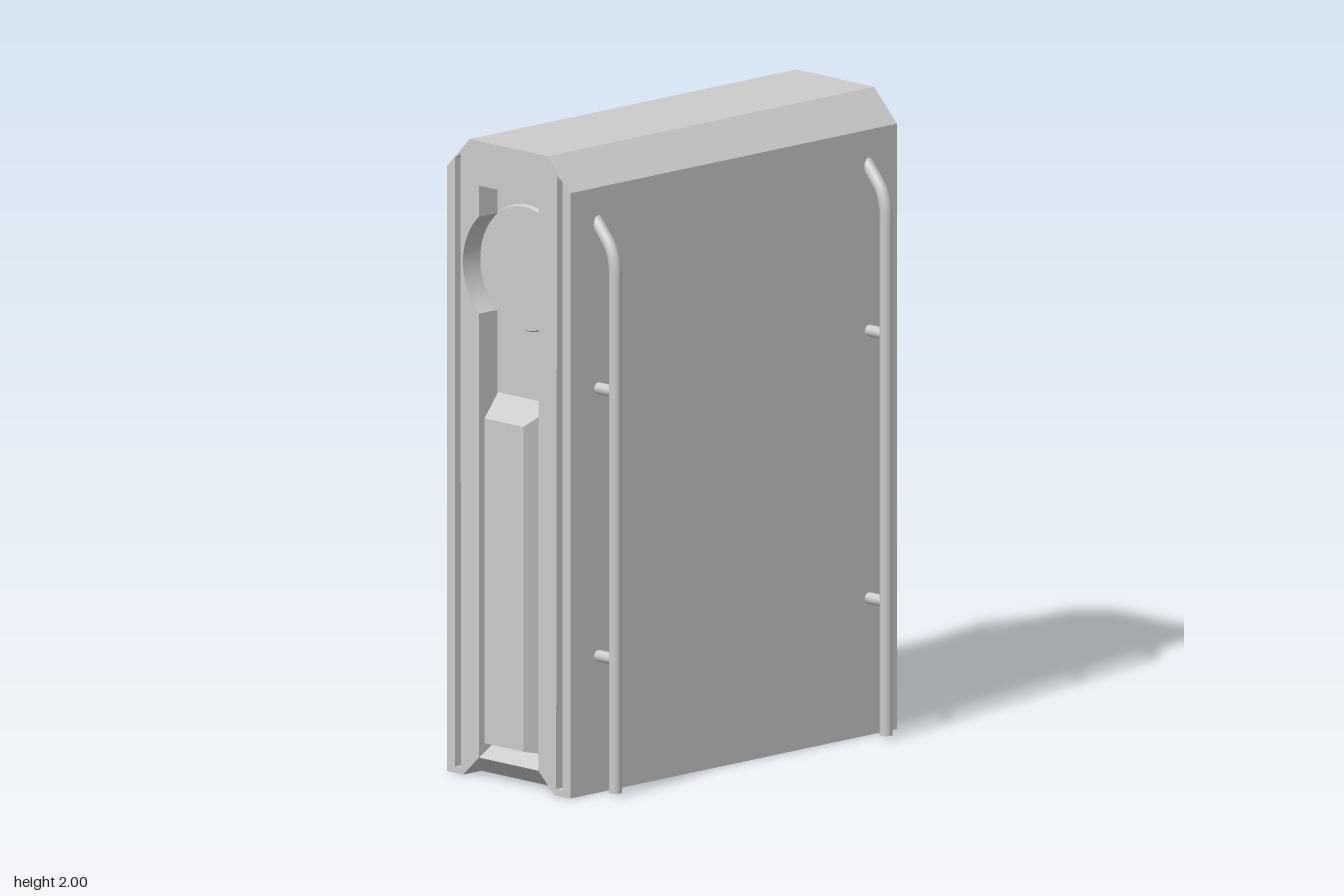
import * as THREE from 'three';

const material = new THREE.MeshStandardMaterial({ color: 0xcccccc, side: THREE.DoubleSide });
const FLOOR = 0.62, FACE = 0.7; // depth of the recess floor and of the end face

function add(parent, name, geometry, x = 0, y = 0, z = 0) {
  const mesh = new THREE.Mesh(geometry, material);
  mesh.name = name;
  mesh.position.set(x, y, z);
  parent.add(mesh);
  return mesh;
}

// Flat-shaded faces from quads given as four corners, counter-clockwise
function quads(list) {
  const positions = list.flatMap(([a, b, c, d]) => [a, b, c, a, c, d].flat());
  const geometry = new THREE.BufferGeometry();
  geometry.setAttribute('position', new THREE.Float32BufferAttribute(positions, 3));
  geometry.computeVertexNormals();
  return geometry;
}

function extrude(shape, depth) {
  return new THREE.ExtrudeGeometry(shape, { depth, bevelEnabled: false, curveSegments: 24 });
}

const HULL = [[0.27, 0], [0.27, 1.9], [0.17, 2], [-0.17, 2], [-0.27, 1.9], [-0.27, 0]];
const polygon = points => new THREE.Shape(points.map(([x, y]) => new THREE.Vector2(x, y)));

// End plate: hull outline with the keyhole channel cut up from the bottom
function endPlateShape() {
  const shape = polygon(HULL);
  const a = Math.acos(0.13 / 0.2);
  shape.lineTo(-0.2, 0);
  shape.lineTo(-0.13, 0.065);
  shape.absarc(0, 1.61, 0.2, Math.PI + a, Math.PI - a, true);
  shape.lineTo(-0.13, 1.86);
  shape.lineTo(0.13, 1.86);
  shape.absarc(0, 1.61, 0.2, a, -a, true);
  shape.lineTo(0.13, 0.065);
  shape.lineTo(0.2, 0);
  for (const s of [-1, 1]) {
    const groove = [[0.208, 0.02], [0.236, 0.02], [0.236, 1.93], [0.212, 1.945]];
    shape.holes.push(new THREE.Path(groove.map(([x, y]) => new THREE.Vector2(s * x, y))));
  }
  return shape;
}

// Raised panel: a frustum standing on the channel floor
function panelGeometry() {
  const ring = (x, y0, y1, z) => [[-x, y0, z], [x, y0, z], [x, y1, z], [-x, y1, z]];
  const base = ring(0.128, 0.1, 1.2, FLOOR);
  const top = ring(0.085, 0.12, 1.14, 0.72);
  const sides = base.map((p, i) => {
    const j = (i + 1) % 4;
    return [p, base[j], top[j], top[i]];
  });
  return quads([...sides, top]);
}

function buildEnd() {
  const end = new THREE.Group();
  add(end, 'endPlate', extrude(endPlateShape(), FACE - FLOOR), 0, 0, FLOOR);
  add(end, 'raisedPanel', panelGeometry());
  // Sill slopes back up to the floor; the chamfer slopes back under it
  add(end, 'sill', quads([
    [[-0.13, 0.065, FACE], [0.13, 0.065, FACE], [0.13, 0.11, FLOOR], [-0.13, 0.11, FLOOR]],
    [[-0.2, 0, FLOOR], [0.2, 0, FLOOR], [0.13, 0.065, FACE], [-0.13, 0.065, FACE]],
  ]));
  const disc = new THREE.CylinderGeometry(0.194, 0.199, 0.012, 48);
  disc.rotateX(Math.PI / 2);
  add(end, 'roundDisc', disc, 0, 1.61, FLOOR + 0.006);
  return end;
}

// Side rail: upright tube bent in to the hull, with two standoffs
function buildRail(side, z) {
  const rail = new THREE.Group();
  const v = (x, y) => new THREE.Vector3(side * x, y, 0);
  const path = new THREE.CurvePath();
  path.add(new THREE.LineCurve3(v(0.345, 0.012), v(0.345, 1.64)));
  path.add(new THREE.QuadraticBezierCurve3(v(0.345, 1.64), v(0.345, 1.7), v(0.31, 1.74)));
  path.add(new THREE.LineCurve3(v(0.31, 1.74), v(0.255, 1.8)));
  add(rail, 'railTube', new THREE.TubeGeometry(path, 100, 0.02, 14));
  const cap = new THREE.CircleGeometry(0.02, 14);
  cap.rotateX(Math.PI / 2);
  add(rail, 'railFoot', cap, side * 0.345, 0.012, 0);
  for (const y of [0.43, 1.27]) {
    const peg = new THREE.CylinderGeometry(0.018, 0.018, 0.08, 14);
    peg.rotateZ(Math.PI / 2);
    add(rail, 'railStandoff', peg, side * 0.3, y, 0);
  }
  rail.position.z = z;
  return rail;
}

export function createModel() {
  const model = new THREE.Group();
  model.name = 'towerCase';
  add(model, 'hull', extrude(polygon(HULL), FLOOR * 2), 0, 0, -FLOOR);

  // Identical front and back ends
  for (const [name, turn] of [['frontEnd', 0], ['backEnd', Math.PI]]) {
    const end = buildEnd();
    end.name = name;
    end.rotation.y = turn;
    model.add(end);
  }

  // Four side rails
  for (const side of [-1, 1]) {
    for (const z of [-0.58, 0.58]) {
      const rail = buildRail(side, z);
      rail.name = (side > 0 ? 'left' : 'right') + (z > 0 ? 'Front' : 'Back') + 'Rail';
      model.add(rail);
    }
  }
  return model;
}
